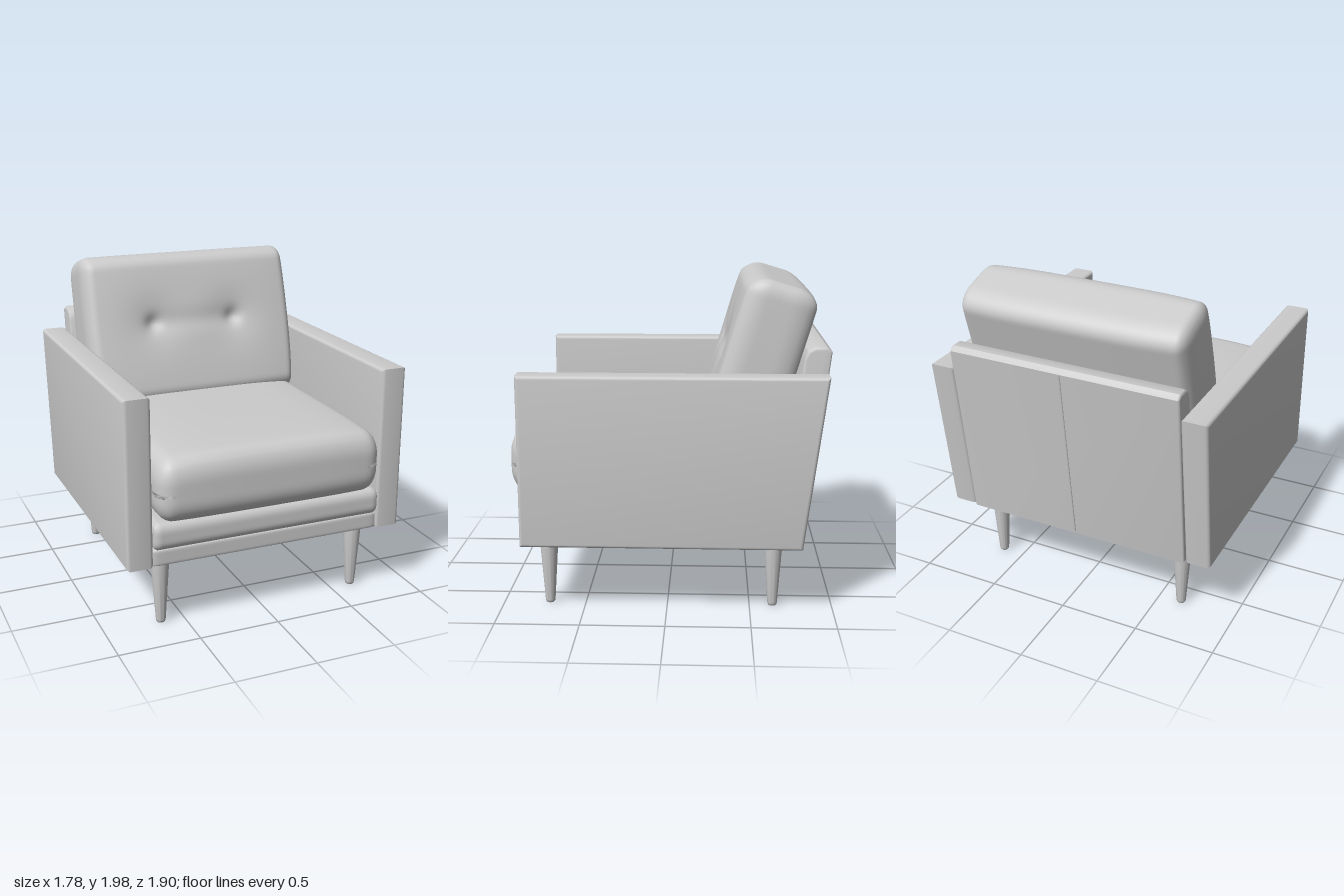
import * as THREE from 'three';
import { mergeVertices, toCreasedNormals } from 'three/addons/utils/BufferGeometryUtils.js';

const material = new THREE.MeshStandardMaterial({ color: 0xcccccc });

function add(parent, name, geometry, x = 0, y = 0, z = 0) {
  const mesh = new THREE.Mesh(geometry, material);
  mesh.name = name;
  mesh.position.set(x, y, z);
  parent.add(mesh);
  return mesh;
}

// Soft box: rounded by a separate radius per axis, then shaped by a rule
function softBox(size, radii, segments, shape) {
  const source = new THREE.BoxGeometry(...size, ...segments);
  source.deleteAttribute('uv');
  source.deleteAttribute('normal');
  const geo = mergeVertices(source);
  const pos = geo.attributes.position;
  const p = new THREE.Vector3(), core = new THREE.Vector3(), dir = new THREE.Vector3();
  const r = new THREE.Vector3(...radii);
  const inner = new THREE.Vector3(...size).multiplyScalar(0.5).sub(r);
  const outer = inner.clone().negate();
  for (let i = 0; i < pos.count; i++) {
    p.fromBufferAttribute(pos, i);
    core.copy(p).clamp(outer, inner);
    dir.copy(p).sub(core).divide(r).normalize().multiply(r);
    p.copy(core).add(dir);
    if (shape) shape(p);
    pos.setXYZ(i, p.x, p.y, p.z);
  }
  geo.computeVertexNormals();
  return geo;
}

// Side profile of [z, y] points extruded across x with softened edges
function panel(points, width, bevel) {
  const shape = new THREE.Shape(points.map(([z, y]) => new THREE.Vector2(z, y)));
  const geo = new THREE.ExtrudeGeometry(shape, {
    depth: width - 2 * bevel, bevelThickness: bevel, bevelSize: bevel,
    bevelOffset: -bevel, bevelSegments: 4,
  });
  geo.translate(0, 0, bevel - width / 2).rotateY(-Math.PI / 2);
  return toCreasedNormals(geo, 0.6);
}

const gauss = (dx, dy, s) => Math.exp(-(dx * dx + dy * dy) / (s * s));

export function createModel() {
  const chair = new THREE.Group();
  chair.name = 'armchair';

  // Arms with a raked rear edge
  const armProfile = [[0.86, 0.43], [0.86, 1.45], [-0.93, 1.45], [-0.8, 0.43]];
  for (const side of [-1, 1]) {
    add(chair, side > 0 ? 'leftArm' : 'rightArm', panel(armProfile, 0.16, 0.022), side * 0.81);
  }

  // Leaning back panel with rounded top and a centre seam
  const backProfile = [
    [-0.67, 0.43], [-0.79, 1.53], [-0.81, 1.575], [-0.85, 1.6],
    [-0.92, 1.6], [-0.95, 1.575], [-0.815, 0.43],
  ];
  add(chair, 'backPanel', panel(backProfile, 1.46, 0.018));
  const seam = new THREE.LineCurve3(
    new THREE.Vector3(0, 0.45, -0.817), new THREE.Vector3(0, 1.57, -0.948));
  add(chair, 'backSeam', new THREE.TubeGeometry(seam, 1, 0.007, 8));

  // Front base, lower rail and padded upper rail
  add(chair, 'frontBase', new THREE.BoxGeometry(1.46, 0.26, 0.6), 0, 0.56, 0.5);
  add(chair, 'lowerRail', softBox([1.46, 0.105, 0.2], [0.01, 0.015, 0.015], [40, 10, 16]), 0, 0.4825, 0.757);
  add(chair, 'upperRail', softBox([1.46, 0.17, 0.3], [0.02, 0.06, 0.05], [60, 14, 24]), 0, 0.615, 0.735);

  // Seat cushion, crowned on top and bowed at the front
  const seat = softBox([1.43, 0.42, 1.65], [0.1, 0.14, 0.1], [48, 18, 48], (p) => {
    const ex = Math.abs(p.x / 0.715), ez = Math.abs(p.z / 0.825);
    if (p.y > 0) p.y -= 0.035 * ex ** 4 + 0.02 * ez ** 4;
    if (p.z > 0.6) p.z -= 0.02 * ex ** 4;
  });
  add(chair, 'seatCushion', seat, 0, 0.91, 0.125);

  // Back cushion, puffed, with two tufts joined by a shallow crease
  const back = softBox([1.45, 1.0, 0.46], [0.06, 0.1, 0.14], [72, 50, 20], (p) => {
    const ex = Math.abs(p.x / 0.725), ey = p.y / 0.5;
    if (p.z > 0) {
      const front = Math.min(1, p.z / 0.2);
      const y = p.y - 0.03;
      p.z -= front * (0.03 * ex ** 4 + 0.015 * ey ** 4);
      for (const tx of [-0.28, 0.28]) {
        p.z -= front * (0.025 * gauss(p.x - tx, y, 0.05) + 0.025 * gauss(p.x - tx, y, 0.16));
      }
      const along = Math.max(0, Math.abs(p.x) - 0.28);
      p.z -= front * 0.012 * gauss(along, y, 0.07);
    } else {
      p.z += 0.02 * ex ** 4;
    }
    p.x *= 1 - 0.03 * Math.max(0, -ey) ** 2 - 0.012 * Math.max(0, ey) ** 2;
  });
  add(chair, 'backCushion', back, 0, 1.475, -0.535).rotation.x = -0.29;

  // Tapered round legs, with mounting blocks at the rear corners
  const legProfile = [[0, 0], [0.022, 0], [0.028, 0.008], [0.03, 0.02], [0.056, 0.4], [0.057, 0.435], [0, 0.435]]
    .map(([r, y]) => new THREE.Vector2(r, y));
  const leg = toCreasedNormals(new THREE.LatheGeometry(legProfile, 28), 0.7);
  for (const side of [-1, 1]) {
    const name = side > 0 ? 'Left' : 'Right';
    add(chair, 'front' + name + 'Leg', leg, side * 0.645, 0, 0.72);
    add(chair, 'rear' + name + 'Leg', leg, side * 0.645, 0, -0.64);
    add(chair, 'rear' + name + 'LegBlock', new THREE.BoxGeometry(0.16, 0.06, 0.15), side * 0.66, 0.464, -0.645);
  }
  return chair;
}
